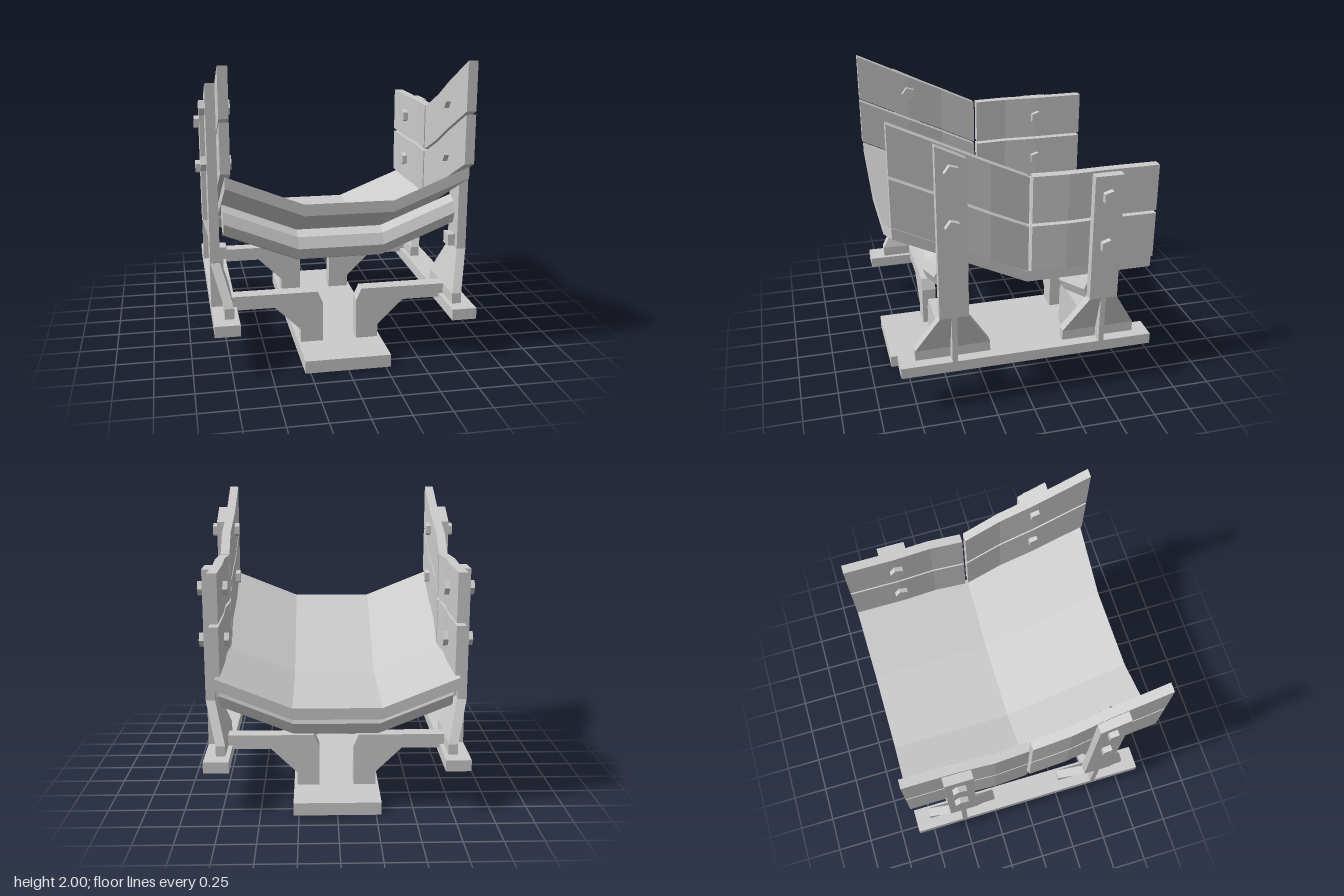
import * as THREE from 'three';

const material = new THREE.MeshStandardMaterial({ color: 0xcccccc, flatShading: true });
const SLOPE = 0.48;                               // rise of the front half
const rise = z => Math.max(0, z) * SLOPE;

// Move every vertex by a rule and give the result flat normals.
function warp(geometry, rule) {
  const g = geometry.index ? geometry.toNonIndexed() : geometry;
  const p = g.attributes.position, v = new THREE.Vector3();
  for (let i = 0; i < p.count; i++) {
    v.fromBufferAttribute(p, i);
    rule(v);
    p.setXYZ(i, v.x, v.y, v.z);
  }
  g.computeVertexNormals();
  return g;
}

// Extrude an outline in x/y, centred on z = 0.
function profile(points, depth, steps = 1) {
  const shape = new THREE.Shape(points.map(([x, y]) => new THREE.Vector2(x, y)));
  return new THREE.ExtrudeGeometry(shape, { depth, steps, bevelEnabled: false }).translate(0, 0, -depth / 2);
}

function box(x0, x1, y0, y1, z0, z1) {
  return new THREE.BoxGeometry(x1 - x0, y1 - y0, z1 - z0)
    .translate((x0 + x1) / 2, (y0 + y1) / 2, (z0 + z1) / 2);
}

export function createModel() {
  const model = new THREE.Group();
  model.name = 'troughConveyor';
  const add = (name, geometry, parent = model) => {
    const mesh = new THREE.Mesh(geometry, material);
    mesh.name = name;
    parent.add(mesh);
    return mesh;
  };

  add('basePlate', box(-0.285, 0.285, 0, 0.085, -0.855, 0.855));

  // Troughed belt, level at the back and rising towards the front
  const belt = profile([
    [-0.77, 0.845], [-0.285, 0.65], [0.285, 0.65], [0.77, 0.845],
    [0.77, 0.92], [0.285, 0.725], [-0.285, 0.725], [-0.77, 0.92],
  ], 1.71, 2);
  add('belt', warp(belt, v => { v.y += rise(v.z); }));

  // Eight-sided rollers, bent to follow the trough
  for (const [z, y] of [[0.5, 0.764], [-0.5, 0.536]]) {
    const roller = new THREE.CylinderGeometry(0.104, 0.104, 1.54, 8, 3).rotateZ(Math.PI / 2);
    add('roller', warp(roller, v => {
      if (Math.abs(v.x) < 0.5) v.x = Math.sign(v.x) * 0.285;
      v.y += y + Math.max(0, Math.abs(v.x) - 0.285) * 0.402;
      v.z += z;
    }));
  }

  for (const s of [1, -1]) {
    const side = new THREE.Group();
    side.name = s > 0 ? 'leftSide' : 'rightSide';
    model.add(side);
    const slab = (x0, x1, ...rest) => box(Math.min(s * x0, s * x1), Math.max(s * x0, s * x1), ...rest);
    const outline = points => points.map(([x, y]) => [s * x, y]);

    add('rail', slab(0.695, 0.86, 0.295, 0.37, -0.855, 0.855), side);

    for (const z of [0.5, -0.5]) {
      const front = z > 0;

      // Bent leg from the base plate out to the rail
      add('leg', profile(outline([
        [0.115, 0.085], [0.265, 0.085], [0.265, 0.175], [0.44, 0.345],
        [0.74, 0.345], [0.74, 0.44], [0.15, 0.44], [0.115, 0.36],
      ]), 0.1), side).position.z = z;

      // Splayed foot of the post with an outer rib
      const foot = new THREE.BoxGeometry(0.062, 2, 1, 1, 2, 1);
      add('postFoot', warp(foot, v => {
        const level = Math.round(v.y) + 1;
        v.x += s * [0.756, 0.756, 0.829][level];
        v.y = [0.37, 0.44, 0.7][level];
        v.z = z + v.z * [0.5, 0.5, 0.19][level];
      }), side);
      add('footRib', profile(outline([
        [0.77, 0.37], [0.86, 0.37], [0.86, 0.7], [0.83, 0.7], [0.77, 0.44],
      ]), 0.036), side).position.z = z;

      // Post, its top cut to the slope of the boards
      const post = slab(0.798, 0.86, 0.7, front ? 1.815 : 1.57, z - 0.095, z + 0.095);
      add('post', warp(post, v => {
        if (front && v.y > 1) v.y += (v.z - z) * 0.5;
      }), side);
      add('rollerBracket', slab(0.75, 0.81, 0.71, 0.79, z - 0.05, z + 0.05), side);

      // Five-sided bolts through post and boards
      for (const y of front ? [1.7, 1.343] : [1.433, 1.093]) {
        const bolt = new THREE.CylinderGeometry(0.05, 0.05, 0.195, 5).rotateZ(Math.PI / 2);
        bolt.rotateX(front ? 0 : Math.PI);
        add('bolt', bolt, side).position.set(s * 0.8, y, z);
      }

      // Two side boards, bowed slightly outwards near the middle
      const stations = front ? [0, 0.25, 0.5, 0.86] : [-0.855, -0.5, -0.25, -0.022];
      for (const y of [0.935, 1.27]) {
        const board = new THREE.BoxGeometry(0.062, 0.315, 3, 1, 1, 3);
        add('sideBoard', warp(board, v => {
          v.z = stations[Math.round(v.z + 1.5)];
          v.x += s * (0.766 + (Math.abs(v.z) === 0.25 ? 0.012 : 0));
          v.y += y + 0.1575 + rise(v.z);
        }), side);
      }
    }
  }
  return model;
}
